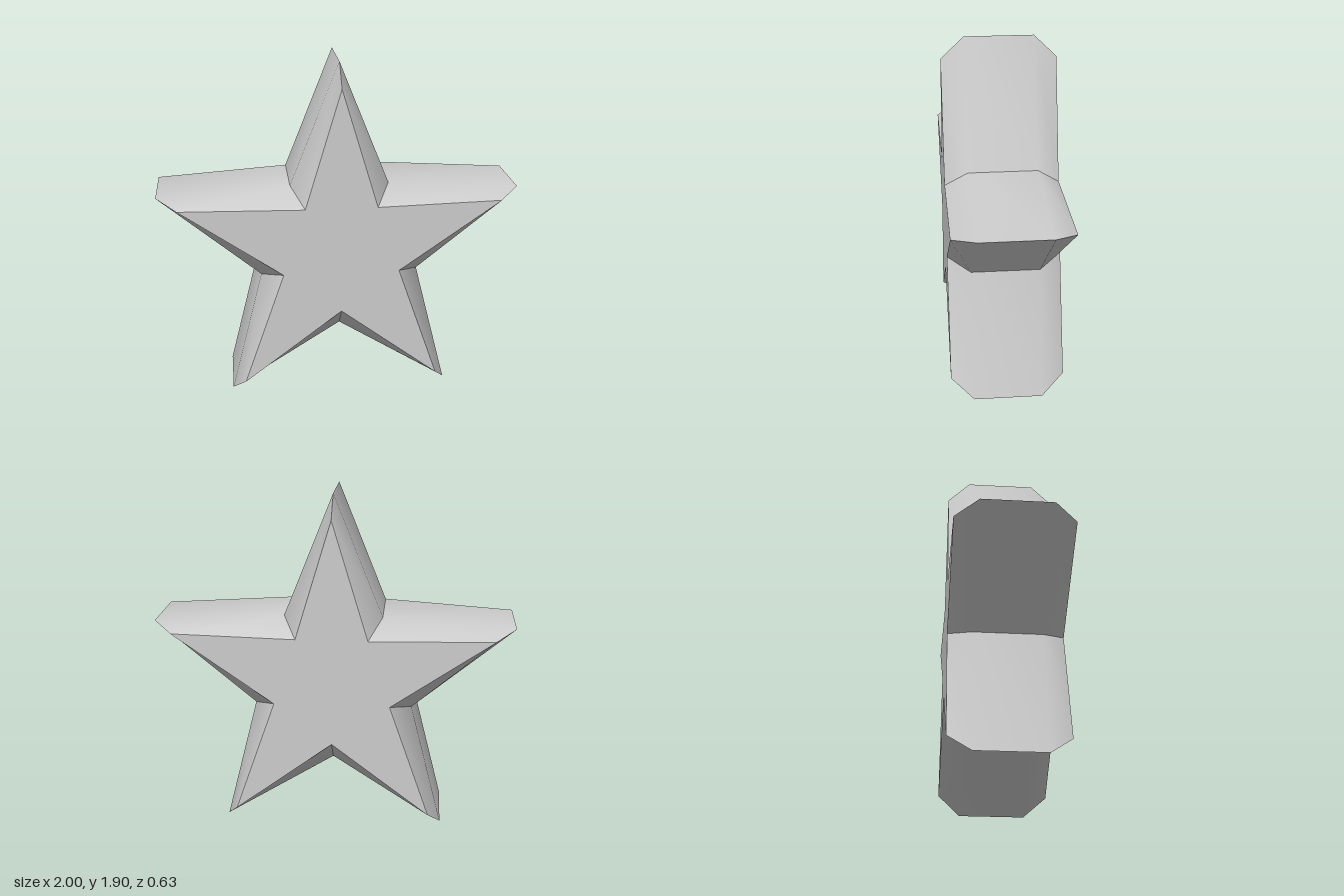
import * as THREE from 'three';

const CENTER_Y = 0.852;

// Ten corners of a five-pointed star, counter-clockwise from the top point
function starPoints(outer, inner) {
  return Array.from({ length: 10 }, (_, i) => {
    const a = Math.PI / 2 + (i * Math.PI) / 5;
    const r = i % 2 ? inner : outer;
    return new THREE.Vector2(r * Math.cos(a), CENTER_Y + r * Math.sin(a));
  });
}

// One smooth side strip: bevel, wall and bevel between two neighbouring corners
function sideStrip(sections, i) {
  const j = (i + 1) % 10;
  const positions = [];
  const index = [];
  sections.forEach(({ points, z }, k) => {
    positions.push(points[i].x, points[i].y, z, points[j].x, points[j].y, z);
    if (k === 0) return;
    const a = 2 * (k - 1);
    index.push(a, a + 1, a + 3, a, a + 3, a + 2);
  });
  const geometry = new THREE.BufferGeometry();
  geometry.setAttribute('position', new THREE.Float32BufferAttribute(positions, 3));
  geometry.setIndex(index);
  geometry.computeVertexNormals();
  return geometry;
}

export function createModel() {
  const model = new THREE.Group();
  model.name = 'star';
  const gray = new THREE.MeshStandardMaterial({ color: 0xcccccc });
  gray.name = 'light gray';

  const rim = starPoints(1.0515, 0.462);
  const face = starPoints(0.93, 0.337);
  const sections = [
    { points: face, z: -0.315 },
    { points: rim, z: -0.19 },
    { points: rim, z: 0.19 },
    { points: face, z: 0.315 },
  ];

  // Sides, creased at every tip and notch
  const sides = new THREE.Group();
  sides.name = 'sides';
  for (let i = 0; i < 10; i++) {
    const side = new THREE.Mesh(sideStrip(sections, i), gray);
    side.name = `side${i + 1}`;
    sides.add(side);
  }
  model.add(sides);

  // Flat front and back faces
  const faceGeometry = new THREE.ShapeGeometry(new THREE.Shape(face));
  for (const [name, z, turn] of [['frontFace', 0.315, 0], ['backFace', -0.315, Math.PI]]) {
    const mesh = new THREE.Mesh(faceGeometry, gray);
    mesh.name = name;
    mesh.position.z = z;
    mesh.rotation.y = turn;
    model.add(mesh);
  }
  return model;
}
